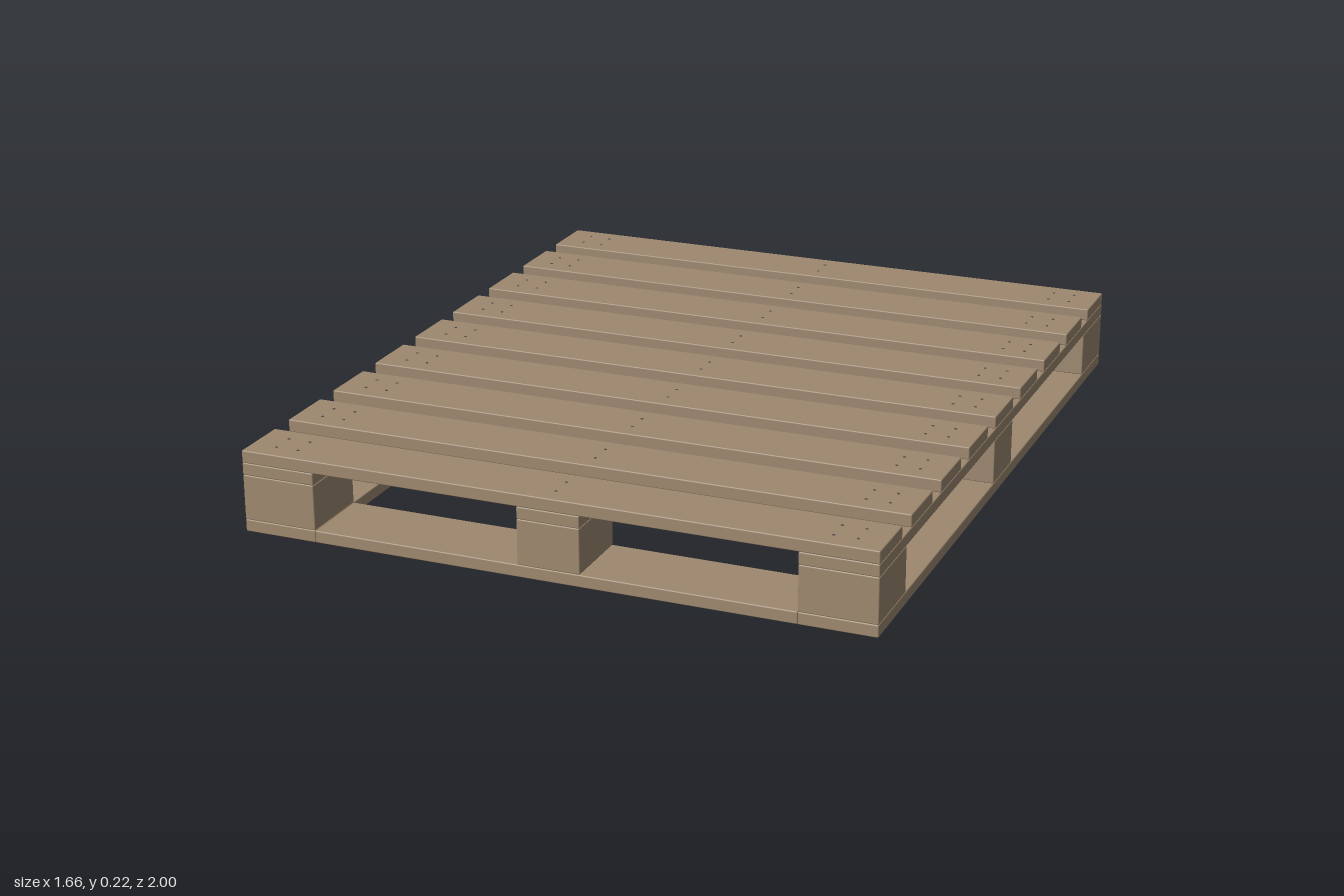
import * as THREE from 'three';
import { RoundedBoxGeometry } from 'three/addons/geometries/RoundedBoxGeometry.js';

const wood = new THREE.MeshStandardMaterial({ color: 0x9e8970 });
wood.name = 'wood';
const steel = new THREE.MeshStandardMaterial({ color: 0x55524e });
steel.name = 'nailSteel';

// Heights of the layers
const BASE = 0.001, BASE_TOP = 0.033, BLOCK_TOP = 0.152, STRINGER_TOP = 0.184, DECK_TOP = 0.217;

export function createModel() {
  const pallet = new THREE.Group();
  pallet.name = 'pallet';

  // Timber with slightly eased edges, given by its extents
  const plank = (name, x0, x1, y0, y1, z0, z1) => {
    const geo = new RoundedBoxGeometry(x1 - x0, y1 - y0, z1 - z0, 1, 0.003);
    const mesh = new THREE.Mesh(geo, wood);
    mesh.position.set((x0 + x1) / 2, (y0 + y1) / 2, (z0 + z1) / 2);
    mesh.name = name;
    pallet.add(mesh);
  };

  const nailGeo = new THREE.CylinderGeometry(0.004, 0.004, 0.004, 8);
  const nail = (x, y, z) => {
    const mesh = new THREE.Mesh(nailGeo, steel);
    mesh.position.set(x, y, z);
    mesh.name = 'nail';
    pallet.add(mesh);
  };
  // Nail pattern over the three rows of blocks
  const nailRow = (y, z) => {
    for (const x of [-0.76, -0.7, 0, 0.7, 0.76]) {
      for (const dz of [-0.03, 0.03]) nail(x, y, z + dz);
    }
  };

  const columns = [[-0.83, -0.633], [-0.082, 0.082], [0.633, 0.83]];
  const rows = [[-1, -0.802], [-0.081, 0.081], [0.802, 1]];

  // Blocks and the long stringer boards resting on them
  for (const [x0, x1] of columns) {
    plank('stringerBoard', x0, x1, BLOCK_TOP, STRINGER_TOP, -1, 1);
    for (const [z0, z1] of rows) plank('block', x0, x1, BASE_TOP, BLOCK_TOP, z0, z1);
  }

  // Bottom frame: full-length sides with cross boards between them
  plank('bottomSideBoard', -0.83, -0.633, BASE, BASE_TOP, -1, 1);
  plank('bottomSideBoard', 0.633, 0.83, BASE, BASE_TOP, -1, 1);
  for (const [z0, z1] of rows) {
    plank('bottomCrossBoard', -0.633, 0.633, BASE, BASE_TOP, z0, z1);
    nailRow(BASE + 0.001, (z0 + z1) / 2);
  }

  // Nine evenly spaced deck slats
  for (let i = -4; i <= 4; i++) {
    const z = i * 0.2297;
    plank('deckSlat', -0.83, 0.83, STRINGER_TOP, DECK_TOP, z - 0.081, z + 0.081);
    nailRow(DECK_TOP - 0.001, z);
  }
  return pallet;
}
